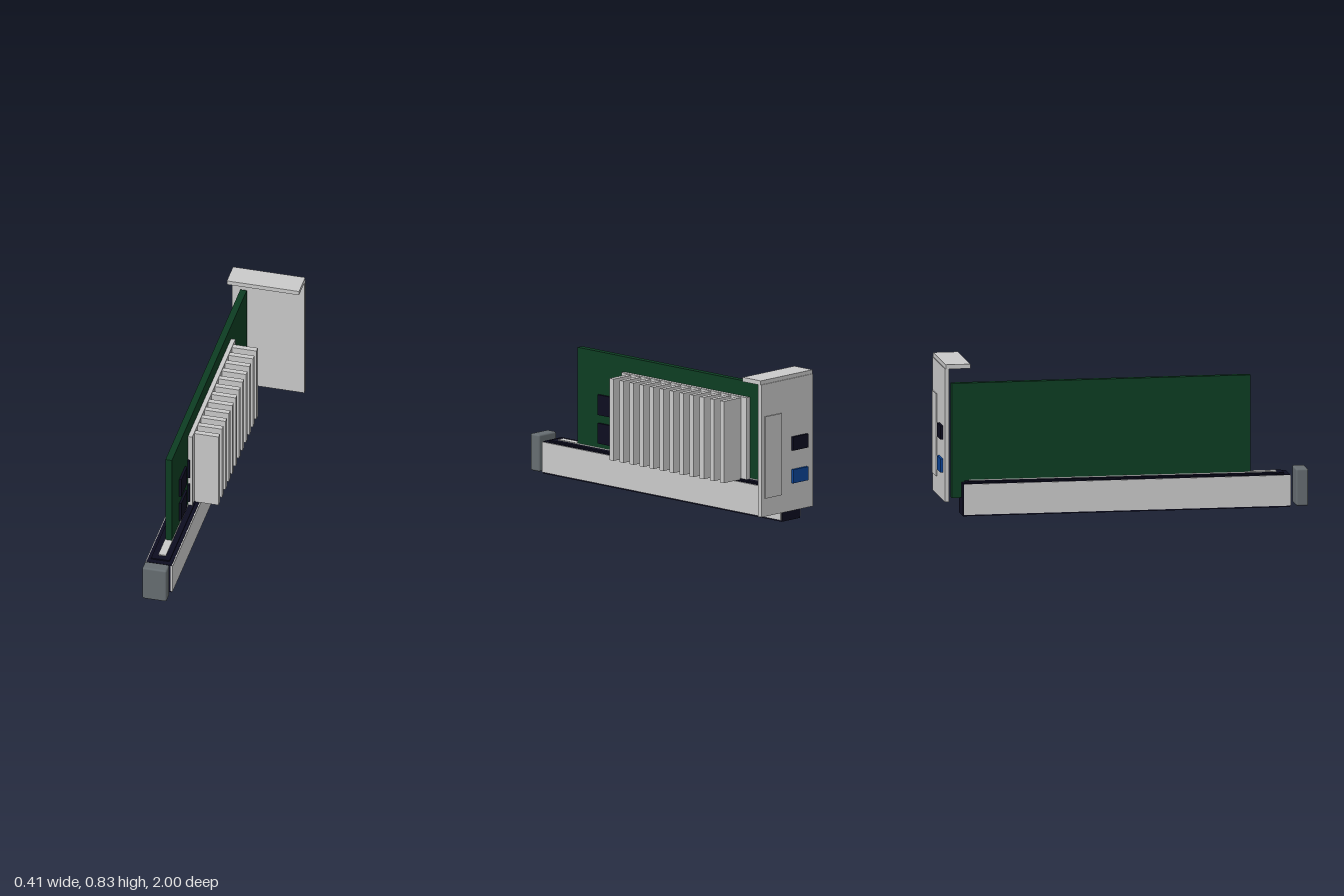
import * as THREE from 'three';
import { RoundedBoxGeometry } from 'three/addons/geometries/RoundedBoxGeometry.js';

const mat = (name, color) => {
  const m = new THREE.MeshStandardMaterial({ color });
  m.name = name;
  return m;
};

export function createModel() {
  const silver = mat('silver metal', 0xcacaca);
  const navy = mat('dark plastic', 0x0d0d20);
  const green = mat('board green', 0x0d3d22);
  const grey = mat('latch grey', 0x666d71);
  const blue = mat('port blue', 0x0b4498);

  const model = new THREE.Group();
  model.name = 'expansionCard';

  // Box given by its limits on each axis
  const box = (name, material, [x0, x1], [y0, y1], [z0, z1], parent = model, radius = 0) => {
    const size = [x1 - x0, y1 - y0, z1 - z0];
    const geometry = radius
      ? new RoundedBoxGeometry(...size, 2, radius)
      : new THREE.BoxGeometry(...size);
    const mesh = new THREE.Mesh(geometry, material);
    mesh.position.set((x0 + x1) / 2, (y0 + y1) / 2, (z0 + z1) / 2);
    mesh.name = name;
    parent.add(mesh);
    return mesh;
  };
  const group = (name) => {
    const g = new THREE.Group();
    g.name = name;
    model.add(g);
    return g;
  };

  // Slot connector with metal side rails and a contact strip
  const slot = group('slot');
  box('slotBody', navy, [-0.199, -0.059], [0, 0.178], [-0.885, 0.9], slot);
  box('slotRim', navy, [-0.18, -0.078], [0.178, 0.185], [-0.87, 0.87], slot);
  box('contactStrip', silver, [-0.149, -0.107], [0.17, 0.19], [-0.845, 0.835], slot);
  box('leftRail', silver, [-0.063, -0.052], [0.008, 0.175], [-0.882, 0.902], slot);
  box('rightRail', silver, [-0.205, -0.195], [0.008, 0.175], [-0.882, 0.902], slot);

  // Retaining latch in front of the slot
  box('latch', grey, [-0.197, -0.062], [0.003, 0.206], [0.933, 1], model, 0.01);

  // Circuit board and memory chips
  box('circuitBoard', green, [-0.146, -0.11], [0.093, 0.718], [-0.938, 0.692]);
  const chips = group('memoryChips');
  for (const z of [0.469, 0.291]) {
    for (const y of [0.27, 0.427]) {
      box('chip', navy, [-0.111, -0.098], [y - 0.056, y + 0.056], [z - 0.064, z + 0.064], chips);
    }
  }

  // Heatsink with twelve upright fins
  const heatsink = group('heatsink');
  box('heatsinkBase', silver, [-0.11, -0.086], [0.176, 0.635], [-0.596, 0.342], heatsink);
  for (let i = 0; i < 12; i++) {
    const z = 0.284 - i * 0.0749;
    box('fin', silver, [-0.088, 0.049], [0.18, 0.63], [z - 0.015, z + 0.015], heatsink);
  }

  // Rear bracket with folded lip, vent panel and two ports
  const bracket = group('bracket');
  box('bracketPlate', silver, [-0.197, 0.204], [0.08, 0.808], [-0.985, -0.962], bracket);
  box('bracketLip', silver, [-0.197, 0.204], [0.806, 0.83], [-0.98, -0.845], bracket);
  box('ventPanel', silver, [0.052, 0.178], [0.18, 0.63], [-0.992, -0.98], bracket);
  box('upperPort', navy, [-0.145, -0.029], [0.413, 0.488], [-1, -0.975], bracket);
  box('lowerPort', blue, [-0.145, -0.029], [0.233, 0.308], [-1, -0.975], bracket);

  return model;
}
